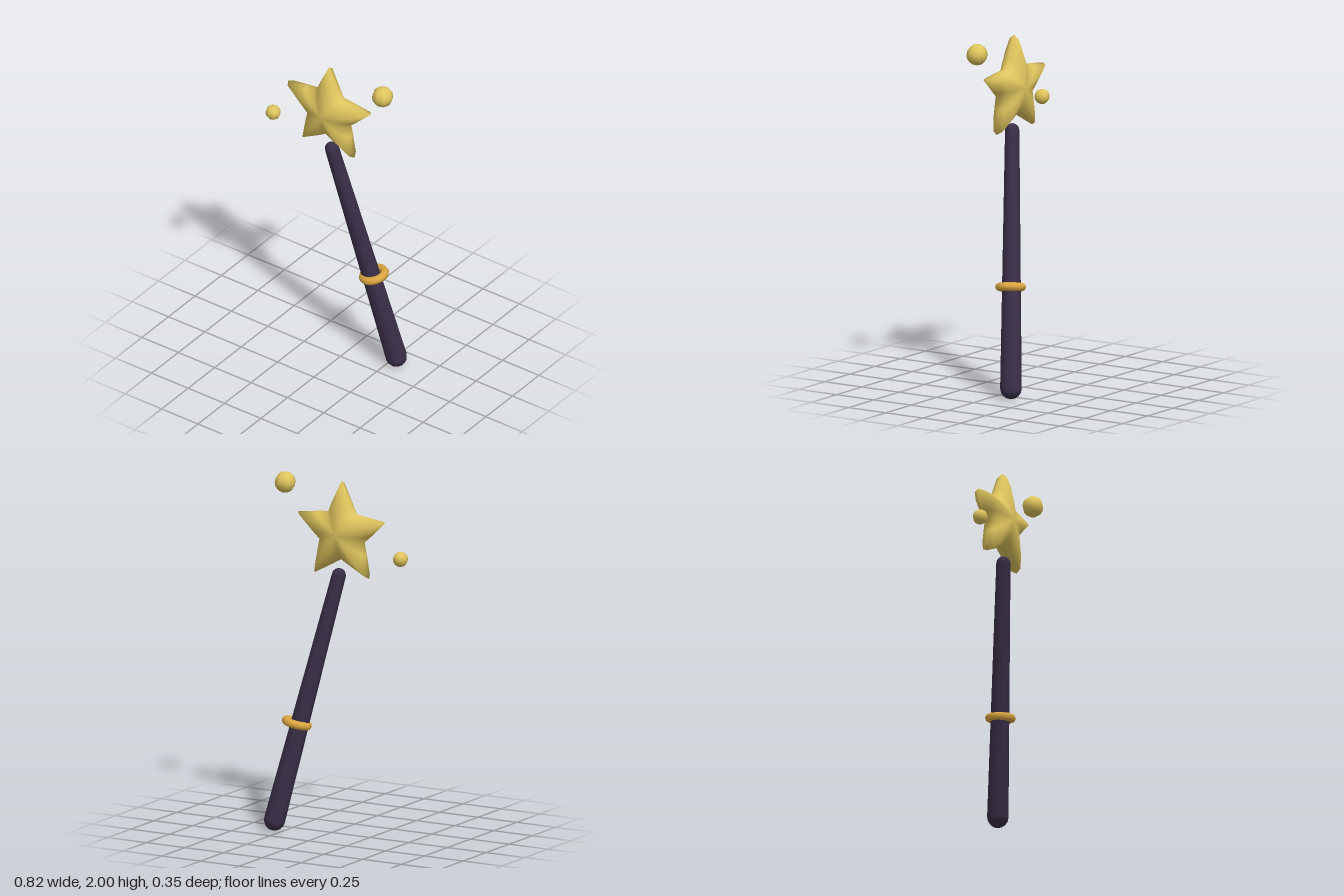
import * as THREE from 'three';
import { mergeVertices } from 'three/addons/utils/BufferGeometryUtils.js';

const paint = (name, color) => Object.assign(new THREE.MeshStandardMaterial({ color }), { name });

export function createModel() {
  const group = new THREE.Group();
  const starGold = paint('pale gold', 0xe0c55e);
  const ringGold = paint('deep gold', 0xdca741);
  const darkWood = paint('dark purple', 0x392f47);

  const add = (name, geometry, material, x, y, z) => {
    const mesh = new THREE.Mesh(geometry, material);
    mesh.name = name;
    mesh.position.set(x, y, z);
    group.add(mesh);
    return mesh;
  };

  // Tapered rod with rounded ends, leaning from the low right to the star
  const base = new THREE.Vector3(0.3, 0.06, -0.115);
  const tip = new THREE.Vector3(0, 1.45, 0.08);
  const axis = tip.clone().sub(base);
  const length = axis.length();
  const lean = new THREE.Quaternion().setFromUnitVectors(new THREE.Vector3(0, 1, 0), axis.normalize());
  const profile = [];
  const cap = (radius, y, from) => {
    for (let i = 0; i <= 4; i++) {
      const a = from + (i / 4) * Math.PI / 2;
      profile.push(new THREE.Vector2(Math.max(0, radius * Math.cos(a)), y + radius * Math.sin(a)));
    }
  };
  cap(0.06, 0, -Math.PI / 2);
  cap(0.04, length, 0);
  add('rod', new THREE.LatheGeometry(profile, 10), darkWood, base.x, base.y, base.z).quaternion.copy(lean);

  // Ring around the grip
  const ringShape = new THREE.TorusGeometry(0.062, 0.024, 8, 20).rotateX(Math.PI / 2);
  add('gripRing', ringShape, ringGold, 0.198, 0.61, -0.044).quaternion.copy(lean);

  // Puffy star: a flattened sphere whose radius follows a five-pointed outline
  const outline = [0.298, 0.188, 0.145, 0.188];
  let star = new THREE.SphereGeometry(1, 20, 8).rotateX(Math.PI / 2);
  star.deleteAttribute('uv');
  star.deleteAttribute('normal');
  const p = star.attributes.position;
  for (let i = 0; i < p.count; i++) {
    const angle = Math.atan2(p.getY(i), p.getX(i)) - Math.PI / 2;
    const step = ((Math.round(angle / (Math.PI / 10)) % 4) + 4) % 4;
    const r = outline[step] * Math.hypot(p.getX(i), p.getY(i));
    p.setXYZ(i, -r * Math.sin(angle), r * Math.cos(angle), p.getZ(i) * 0.08);
  }
  star = mergeVertices(star, 1e-4);
  star.computeVertexNormals();
  add('star', star, starGold, -0.02, 1.691, 0.08);

  // Floating sparkles
  add('largeSparkle', new THREE.SphereGeometry(0.06, 8, 8), starGold, 0.348, 1.94, 0.08);
  add('smallSparkle', new THREE.SphereGeometry(0.043, 8, 8), starGold, -0.368, 1.572, 0.13);

  return group;
}
